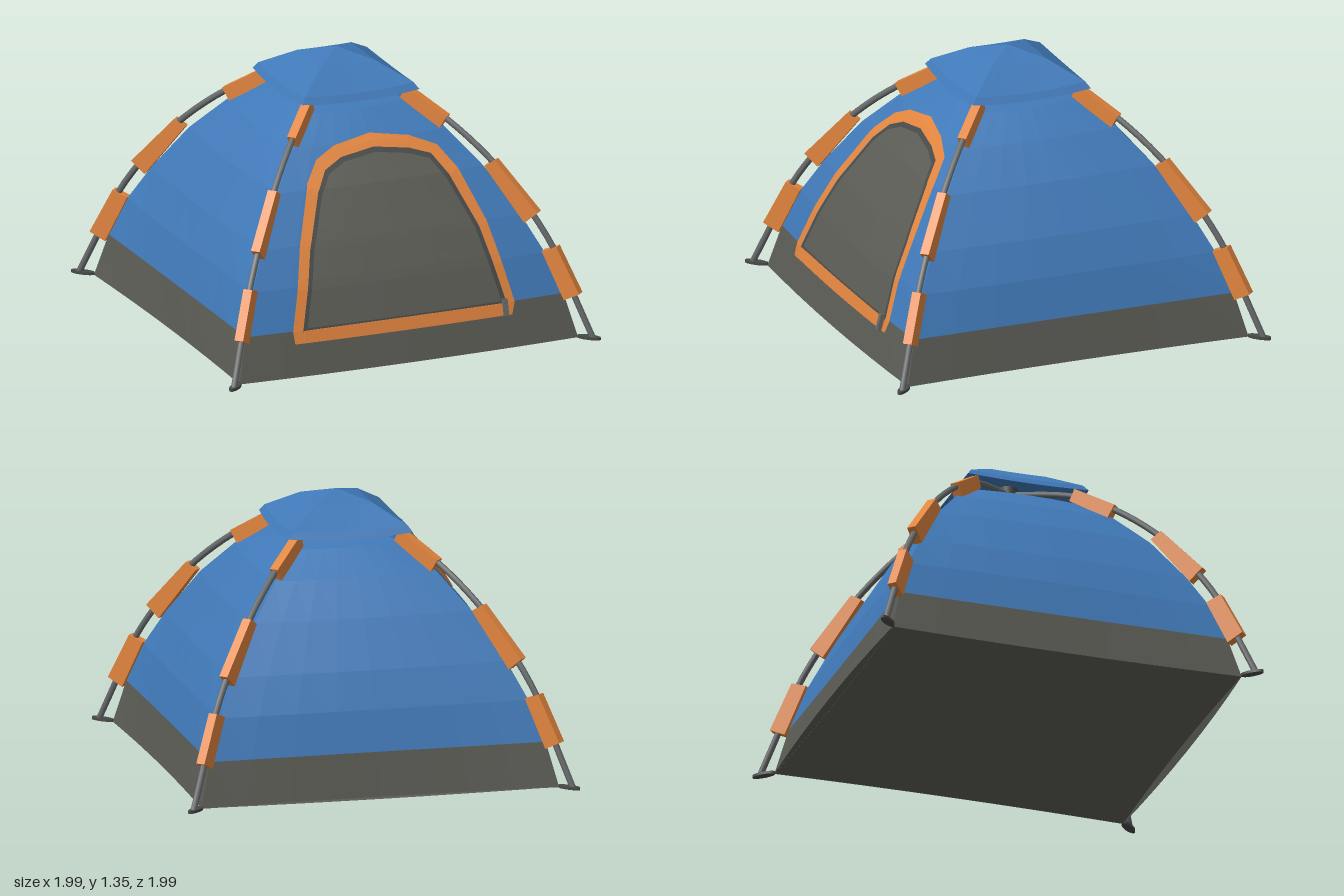
import * as THREE from 'three';
import { ParametricGeometry } from 'three/addons/geometries/ParametricGeometry.js';

const mat = (name, color) => {
  const m = new THREE.MeshStandardMaterial({ color, side: THREE.DoubleSide });
  m.name = name;
  return m;
};

// piecewise-linear lookup in a list of [key, value]
function lookup(table, k) {
  for (let i = 1; i < table.length; i++) {
    const [k0, v0] = table[i - 1], [k1, v1] = table[i];
    if (k <= k1) return v0 + (v1 - v0) * Math.max(0, (k - k0) / (k1 - k0));
  }
  return table[table.length - 1][1];
}

// point at t (0..1) along a list of points
function along(points, t) {
  const s = THREE.MathUtils.clamp(t, 0, 1) * (points.length - 1);
  const i = Math.min(Math.floor(s), points.length - 2);
  return points[i].map((c, j) => c + (points[i + 1][j] - c) * (s - i));
}

// faceted surface from a rule (u, v) -> [x, y, z]
function surface(rule, nu, nv) {
  const g = new ParametricGeometry((u, v, p) => p.set(...rule(u, v)), nu, nv).toNonIndexed();
  g.computeVertexNormals();
  return g;
}

// half-width of the dome by height, measured at the corners
const PROFILE = [[0, 0.905], [0.22, 0.85], [0.42, 0.78], [0.6, 0.69], [0.83, 0.55],
  [1.0, 0.41], [1.12, 0.27], [1.17, 0.16], [1.205, 0]];

function wallZ(s, y, front) {
  const h = lookup(PROFILE, y);
  const bow = front ? 0.025 : lookup([[0, -0.018], [0.6, 0.022], [1.2, 0.022]], y);
  return h + bow * Math.min(1, h / 0.3) * (1 - s * s);
}

// point lying just above the front wall
function onFront([x, y], lift) {
  return [x, y, wallZ(x / lookup(PROFILE, y), y, true) + lift];
}

const OUTER = [[-0.6, 0.16], [-0.605, 0.22], [-0.5, 0.6], [-0.39, 0.86], [-0.31, 0.95], [-0.2, 1.0],
  [0, 1.03], [0.2, 1.0], [0.335, 0.945], [0.41, 0.84], [0.5, 0.6], [0.58, 0.22], [0.56, 0.16], [-0.6, 0.16]];
const INNER = [[-0.55, 0.21], [-0.55, 0.225], [-0.45, 0.58], [-0.345, 0.82], [-0.28, 0.905], [-0.18, 0.95],
  [0, 0.975], [0.18, 0.95], [0.29, 0.915], [0.355, 0.82], [0.455, 0.58], [0.535, 0.225], [0.53, 0.21], [-0.55, 0.21]];

export function createModel() {
  const blue = mat('blueFabric', 0x4079b8);
  const orange = mat('orangeFabric', 0xe2853e);
  const grey = mat('greyFabric', 0x5c5c56);
  const steel = mat('poleGrey', 0x66696a);
  const dark = mat('darkTrim', 0x484a49);

  const tent = new THREE.Group();
  tent.name = 'tent';
  const add = (parent, name, geometry, material) => {
    const m = new THREE.Mesh(geometry, material);
    m.name = name;
    parent.add(m);
    return m;
  };

  // walls: grey skirt below, blue dome above, canopy on top
  const skirtLevels = [[0], [0.22]];
  const domeLevels = PROFILE.slice(1).map(([y]) => [y]);
  const wall = (levels, front) => surface((u, v) => {
    const y = along(levels, v)[0], s = u * 2 - 1;
    return [s * lookup(PROFILE, y), y, wallZ(s, y, front)];
  }, 8, levels.length - 1);
  const CAP = [[0.312, 1.183], [0.29, 1.215], [0.145, 1.305], [0, 1.35]];
  const canopySide = surface((u, v) => {
    const [h, y] = along(CAP, v), s = u * 2 - 1;
    const k = (1 - s * s) * Math.max(0, h - 0.1) / 0.2;
    return [s * h, y - 0.014 * k, h + 0.012 * k];
  }, 8, 3);
  for (let i = 0; i < 4; i++) {
    const side = new THREE.Group();
    side.name = ['front', 'left', 'back', 'right'][i] + 'Side';
    side.rotation.y = i * Math.PI / 2;
    add(side, 'skirt', wall(skirtLevels, i === 0), grey);
    add(side, 'wall', wall(domeLevels, i === 0), blue);
    add(side, 'canopy', canopySide, blue);
    tent.add(side);
  }

  // floor follows the bowed foot of the walls
  const floor = new THREE.Shape();
  for (let i = 0; i < 4; i++) {
    for (let j = 0; j < 8; j++) {
      const s = j / 4 - 1;
      const p = new THREE.Vector2(s * 0.905, -wallZ(s, 0, i === 0))
        .rotateAround(new THREE.Vector2(), i * Math.PI / 2);
      if (i + j === 0) floor.moveTo(p.x, p.y); else floor.lineTo(p.x, p.y);
    }
  }
  const floorMesh = add(tent, 'floor', new THREE.ShapeGeometry(floor), grey);
  floorMesh.rotation.x = Math.PI / 2;
  floorMesh.scale.y = -1;
  floorMesh.position.y = 0.002;
  // keep the floor outline bow towards +z and its face pointing down
  floorMesh.geometry.rotateX(Math.PI / 2);
  floorMesh.rotation.x = 0;
  floorMesh.scale.y = 1;
  floorMesh.geometry.scale(1, 1, -1);
  floorMesh.geometry.scale(1, 1, -1);

  // door: grey panel, zip line and orange border laid on the front wall
  const door = new THREE.Group();
  door.name = 'door';
  tent.add(door);
  const leftEdge = INNER.slice(0, 7), rightEdge = INNER.slice(6, 13).reverse();
  add(door, 'doorPanel', surface((u, v) => {
    const a = along(leftEdge, v), b = along(rightEdge, v);
    return onFront(a.map((c, j) => c + (b[j] - c) * u), 0.005);
  }, 10, 48), grey);
  const ring = (outer, inner, lift) => surface((u, v) => {
    const a = along(inner, u), b = along(outer, u);
    return onFront(a.map((c, j) => c + (b[j] - c) * v), lift);
  }, 104, 2);
  const ZIP = INNER.map(([x, y]) => [x * 0.95, 0.56 + (y - 0.56) * 0.945]);
  add(door, 'doorBorder', ring(OUTER, INNER, 0.009), orange);
  add(door, 'zipLine', ring(INNER, ZIP, 0.007), dark);

  // rolled flap and zip pull along the sill
  const flap = add(door, 'sillFlap', new THREE.BoxGeometry(1.08, 0.055, 0.012), orange);
  flap.position.set(-0.01, 0.195, 0.888);
  flap.rotation.x = -0.25;
  const pull = add(door, 'zipPull', new THREE.BoxGeometry(0.025, 0.085, 0.02), steel);
  pull.position.set(0.52, 0.205, 0.895);
  pull.rotation.x = -0.25;

  // corner poles with sleeves and feet; [a, y] is measured as x = z = a
  const D = Math.SQRT2;
  const POLE = [[0.96, 0.008], [0.895, 0.2], [0.82, 0.43], [0.735, 0.61], [0.59, 0.85],
    [0.41, 1.05], [0.255, 1.165], [0, 1.25]];
  const SLEEVES = [
    [[0.83, 0.46], [0.915, 0.23], [0.858, 0.19], [0.775, 0.43]],
    [[0.6, 0.87], [0.76, 0.625], [0.71, 0.565], [0.56, 0.835]],
    [[0.265, 1.195], [0.42, 1.065], [0.392, 1.0], [0.245, 1.135]],
  ];
  const curve = new THREE.CatmullRomCurve3(POLE.map(([a, y]) => new THREE.Vector3(a * D, y, 0)));
  const poleGeo = new THREE.TubeGeometry(curve, 28, 0.016, 8);
  const sleeveGeos = SLEEVES.map((pts) => {
    const shape = new THREE.Shape(pts.map(([a, y]) => new THREE.Vector2(a * D, y)));
    return new THREE.ExtrudeGeometry(shape, { depth: 0.046, bevelEnabled: false }).translate(0, 0, -0.023);
  });
  const footGeo = new THREE.CylinderGeometry(1, 1, 0.014, 16).scale(0.062, 1, 0.022).translate(1.338, 0.007, 0);
  for (let i = 0; i < 4; i++) {
    const leg = new THREE.Group();
    leg.name = 'cornerPole' + (i + 1);
    leg.rotation.y = Math.PI / 4 + i * Math.PI / 2;
    add(leg, 'pole', poleGeo, steel);
    sleeveGeos.forEach((g) => add(leg, 'sleeve', g, orange));
    add(leg, 'foot', footGeo, dark);
    tent.add(leg);
  }

  // hub under the canopy
  add(tent, 'hub', new THREE.CylinderGeometry(0.05, 0.05, 0.05, 12), dark).position.y = 1.25;
  return tent;
}
